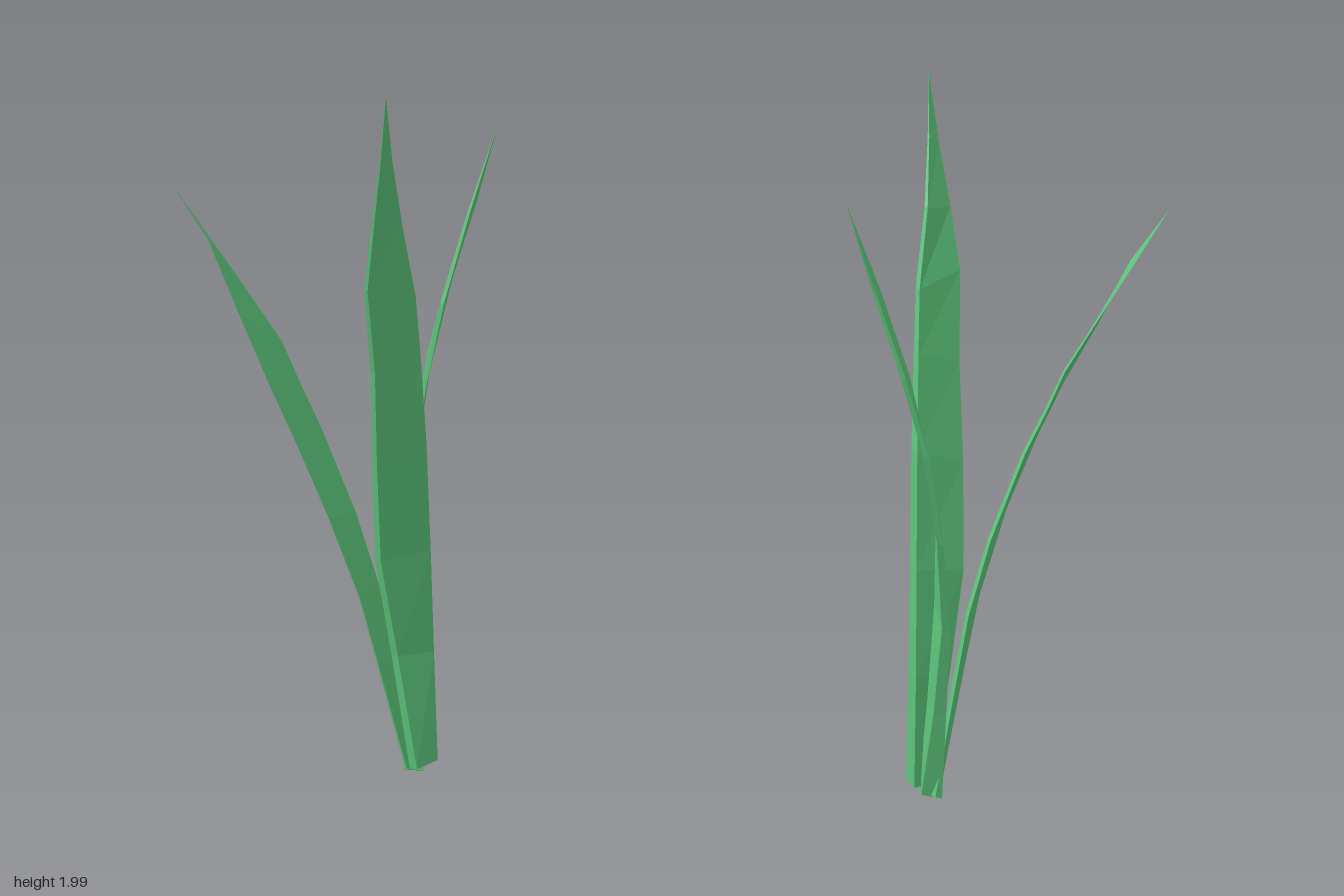
import * as THREE from 'three';

const material = new THREE.MeshStandardMaterial({ color: 0x5cc47a, flatShading: true, side: THREE.DoubleSide });

// A blade is lofted from two edge lines of its inner face, thickened along
// "out"; each row is [edge A xyz, edge B xyz, thickness], the tip closes to a point.
function blade(name, out, rows, tip) {
  const rings = rows.map(([ax, ay, az, bx, by, bz, t]) => {
    const a = new THREE.Vector3(ax, ay, az), b = new THREE.Vector3(bx, by, bz);
    const o = new THREE.Vector3(...out).multiplyScalar(t);
    return [a, b, b.clone().add(o), a.clone().add(o)];
  });
  const end = new THREE.Vector3(...tip);
  const pos = [];
  const tri = (...pts) => pts.forEach((p) => pos.push(p.x, p.y, p.z));
  rings.forEach((r, i) => {
    const n = rings[i + 1];
    for (let j = 0; j < 4; j++) {
      const k = (j + 1) % 4;
      if (n) {
        tri(r[j], r[k], n[k]);
        tri(r[j], n[k], n[j]);
      } else tri(r[j], r[k], end);
    }
  });
  // Base cap
  const [a, b, c, d] = rings[0];
  tri(a, c, b);
  tri(a, d, c);
  const geometry = new THREE.BufferGeometry();
  geometry.setAttribute('position', new THREE.Float32BufferAttribute(pos, 3));
  geometry.computeVertexNormals();
  const mesh = new THREE.Mesh(geometry, material);
  mesh.name = name;
  return mesh;
}

export function createModel() {
  const group = new THREE.Group();
  group.name = 'grassTuft';

  // Tall blade leaning to the left and forward
  group.add(blade('leftBlade', [1, 0.3, 0], [
    [0.02, 0.05, -0.14, 0.015, 0.04, -0.07, 0.036],
    [0.03, 0.40, -0.12, -0.005, 0.40, -0.02, 0.03],
    [0.055, 0.72, -0.09, 0.002, 0.70, 0.04, 0.026],
    [0.095, 1.05, -0.045, 0.045, 1.00, 0.08, 0.023],
    [0.14, 1.30, 0.005, 0.102, 1.27, 0.122, 0.018],
    [0.175, 1.47, 0.045, 0.157, 1.50, 0.18, 0.015],
    [0.215, 1.67, 0.115, 0.215, 1.66, 0.2, 0.012],
    [0.285, 1.84, 0.19, 0.285, 1.82, 0.226, 0.006],
  ], [0.35, 2.0, 0.25]));

  // Blade leaning to the right and forward
  group.add(blade('rightBlade', [-1, 0.2, -0.3], [
    [0.002, 0.03, -0.07, -0.008, 0.02, -0.1, 0.025],
    [0.005, 0.40, 0.035, -0.04, 0.35, -0.055, 0.02],
    [0.002, 0.60, 0.09, -0.06, 0.60, -0.015, 0.018],
    [-0.018, 0.85, 0.177, -0.085, 0.82, 0.045, 0.017],
    [-0.065, 1.06, 0.246, -0.135, 1.07, 0.125, 0.015],
    [-0.115, 1.22, 0.296, -0.175, 1.19, 0.163, 0.013],
    [-0.2, 1.40, 0.333, -0.207, 1.30, 0.197, 0.01],
    [-0.275, 1.58, 0.372, -0.272, 1.49, 0.3, 0.006],
  ], [-0.35, 1.72, 0.43]));

  // Broad blade leaning backward
  group.add(blade('backBlade', [0.8, 0.1, -0.6], [
    [-0.032, 0.01, -0.08, -0.015, 0.02, -0.075, 0.06],
    [-0.09, 0.33, -0.12, -0.025, 0.33, -0.082, 0.035],
    [-0.155, 0.65, -0.168, -0.045, 0.65, -0.09, 0.022],
    [-0.198, 0.94, -0.235, -0.075, 0.90, -0.12, 0.016],
    [-0.203, 1.20, -0.287, -0.083, 1.15, -0.178, 0.014],
    [-0.168, 1.41, -0.33, -0.074, 1.37, -0.23, 0.012],
    [-0.112, 1.63, -0.373, -0.08, 1.61, -0.325, 0.008],
  ], [-0.08, 1.85, -0.43]));

  return group;
}
